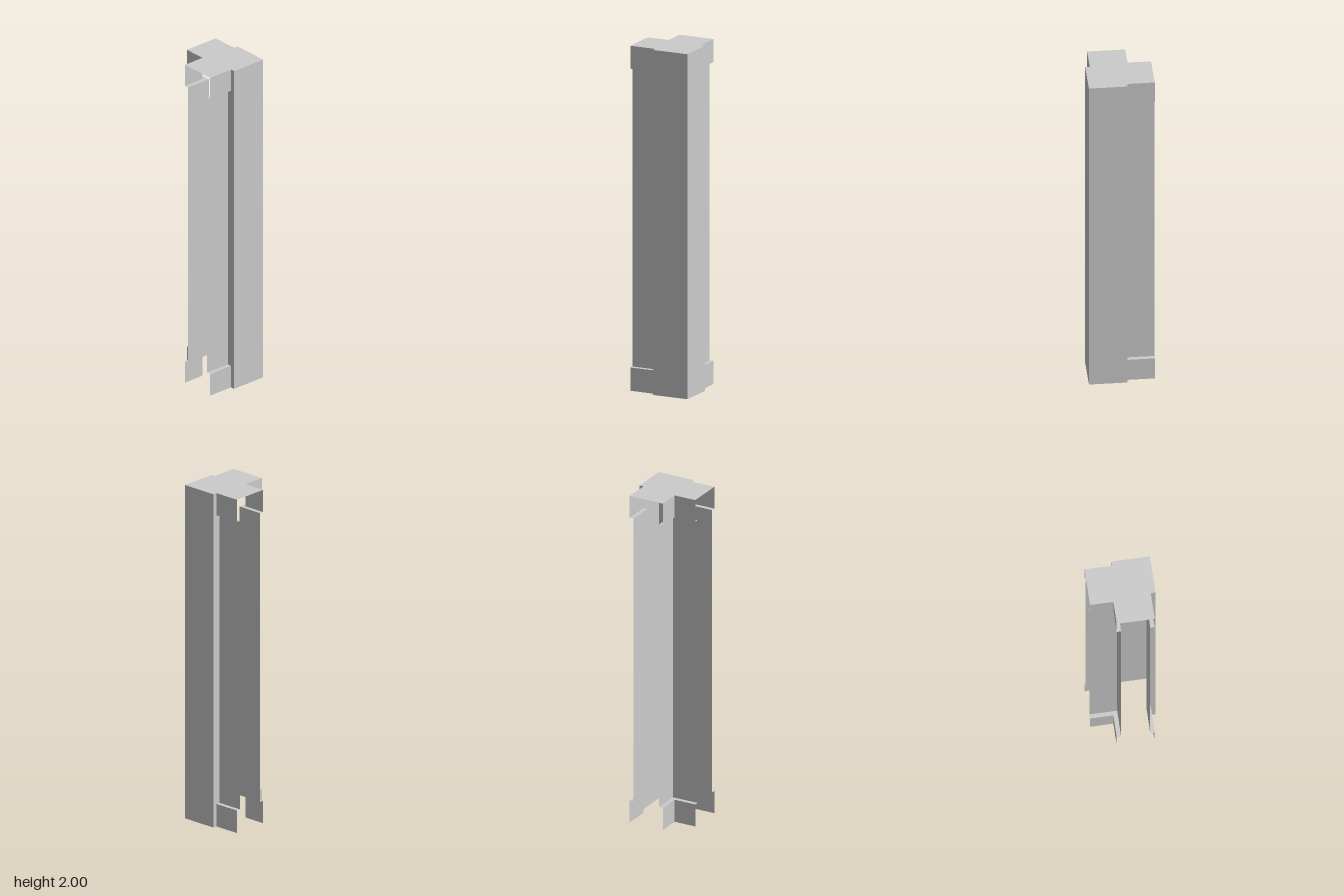
import * as THREE from 'three';

const END = 0.187;            // outer reach of the post faces and the open arm ends
const POST = -0.031;          // inner edge of the corner post faces
const BAND = { out: 0.161, inn: -0.054 };   // wall lines of the end bands
const SHAFT = { out: 0.136, inn: -0.029 };  // wall lines of the recessed shaft
const H = 2, LOW = 0.135, HIGH = 1.867;

const material = new THREE.MeshStandardMaterial({
  color: 0xcccccc, flatShading: true, side: THREE.DoubleSide,
});

export function createModel() {
  const group = new THREE.Group();
  group.name = 'cornerPillar';

  const add = (name, geometry) => {
    const mesh = new THREE.Mesh(geometry, material);
    mesh.name = name;
    group.add(mesh);
  };

  // Upright sheet following an open [x, z] path
  const wall = (name, path, y0, y1) => {
    const pos = [];
    for (let i = 0; i + 1 < path.length; i++) {
      const [px, pz] = path[i], [qx, qz] = path[i + 1];
      pos.push(px, y0, pz, qx, y0, qz, qx, y1, qz);
      pos.push(px, y0, pz, qx, y1, qz, px, y1, pz);
    }
    const geometry = new THREE.BufferGeometry();
    geometry.setAttribute('position', new THREE.Float32BufferAttribute(pos, 3));
    geometry.computeVertexNormals();
    add(name, geometry);
  };

  // Level sheet with an [x, z] outline, facing up or down
  const plate = (name, outline, y, up) => {
    const s = up ? -1 : 1;
    const shape = new THREE.Shape(outline.map(([x, z]) => new THREE.Vector2(x, s * z)));
    add(name, new THREE.ShapeGeometry(shape).rotateX(s * Math.PI / 2).translate(0, y, 0));
  };

  const mirror = path => path.map(([x, z]) => [z, x]).reverse();
  const frontArm = ({ out }) => [[-END, out], [POST, out], [POST, END]];
  const innerCorner = ({ inn }) => [[inn, -END], [inn, inn], [-END, inn]];

  // Full-height faces of the corner post
  wall('cornerPost', [[POST, END], [END, END], [END, POST]], 0, H);

  // Arm walls: wide bands at both ends, narrower shaft between
  const sections = [
    ['lowerBand', BAND, 0, LOW],
    ['shaft', SHAFT, LOW, HIGH],
    ['upperBand', BAND, HIGH, H],
  ];
  for (const [name, line, y0, y1] of sections) {
    wall(name + 'Front', frontArm(line), y0, y1);
    wall(name + 'Side', mirror(frontArm(line)), y0, y1);
    wall(name + 'InnerCorner', innerCorner(line), y0, y1);
  }

  // Ledges where the bands step in to the shaft
  const frontLedge = [[-END, SHAFT.out], [POST, SHAFT.out], [POST, BAND.out], [-END, BAND.out]];
  const innerLedge = [...innerCorner(BAND), ...innerCorner(SHAFT).reverse()];
  for (const [name, y, up] of [['lowerLedge', LOW, true], ['upperLedge', HIGH, false]]) {
    plate(name + 'Front', frontLedge, y, up);
    plate(name + 'Side', mirror(frontLedge), y, up);
    plate(name + 'InnerCorner', innerLedge, y, up);
  }

  // Closed top; the foot and arm ends stay open
  plate('topPlate', [
    ...frontArm(BAND), [END, END], ...mirror(frontArm(BAND)), ...innerCorner(BAND),
  ], H, true);

  return group;
}
